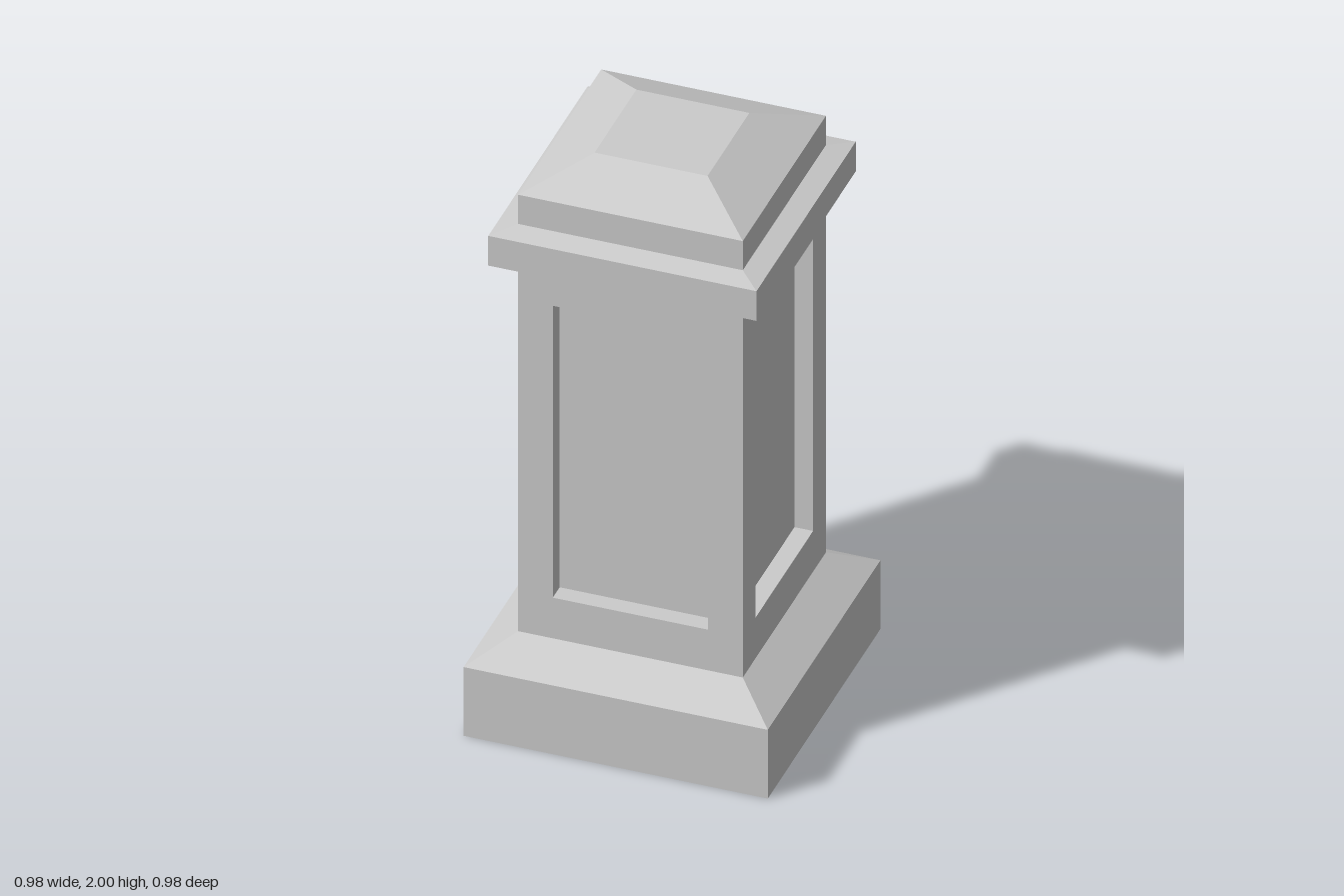
import * as THREE from 'three';
import { mergeGeometries } from 'three/addons/utils/BufferGeometryUtils.js';

const HALF = 0.362;                       // half width of the shaft
const SHAFT = { bottom: 0.33, top: 1.69 };
const PANEL = { half: 0.25, bottom: 0.478, top: 1.54, depth: 0.06 };

const material = new THREE.MeshStandardMaterial({ color: 0xcccccc });

// Square moulding from a profile of [half width, height], bottom to top
function squareMoulding(name, profile) {
  const points = profile.map(([half, y]) => new THREE.Vector2(half * Math.SQRT2, y));
  const geometry = new THREE.LatheGeometry(points, 4, Math.PI / 4).toNonIndexed();
  geometry.computeVertexNormals();
  const mesh = new THREE.Mesh(geometry, material);
  mesh.name = name;
  return mesh;
}

function rectangle(path, half, bottom, top) {
  path.moveTo(-half, bottom);
  path.lineTo(half, bottom);
  path.lineTo(half, top);
  path.lineTo(-half, top);
  path.closePath();
  return path;
}

// One shaft face: flat frame around an opening
function frameGeometry() {
  const shape = rectangle(new THREE.Shape(), HALF, SHAFT.bottom, SHAFT.top);
  shape.holes.push(rectangle(new THREE.Path(), PANEL.half, PANEL.bottom, PANEL.top));
  return new THREE.ShapeGeometry(shape).translate(0, 0, HALF);
}

// Sunk panel: back plane and its four reveals
function recessGeometry() {
  const { half, bottom, top, depth } = PANEL;
  const height = top - bottom;
  const midY = (top + bottom) / 2;
  const parts = [new THREE.PlaneGeometry(2 * half, height).translate(0, midY, HALF - depth)];
  for (const s of [-1, 1]) {
    parts.push(
      new THREE.PlaneGeometry(depth, height)
        .rotateY(-s * Math.PI / 2)
        .translate(s * half, midY, HALF - depth / 2),
      new THREE.PlaneGeometry(2 * half, depth)
        .rotateX(s * Math.PI / 2)
        .translate(0, midY + s * height / 2, HALF - depth / 2)
    );
  }
  return mergeGeometries(parts);
}

export function createModel() {
  const model = new THREE.Group();
  model.name = 'pedestal';

  // Plinth with sloped shoulder
  model.add(squareMoulding('plinth', [[0, 0], [0.49, 0], [0.49, 0.25], [HALF, 0.33], [0, 0.33]]));

  // Shaft, the same panelled face on all four sides
  const shaft = new THREE.Group();
  shaft.name = 'shaft';
  const frame = frameGeometry();
  const recess = recessGeometry();
  for (let i = 0; i < 4; i++) {
    const side = new THREE.Group();
    side.name = 'shaftSide';
    const frameMesh = new THREE.Mesh(frame, material);
    frameMesh.name = 'panelFrame';
    const recessMesh = new THREE.Mesh(recess, material);
    recessMesh.name = 'sunkPanel';
    side.add(frameMesh, recessMesh);
    side.rotation.y = i * Math.PI / 2;
    shaft.add(side);
  }
  model.add(shaft);

  // Projecting band, then the block with its truncated pyramid top
  model.add(squareMoulding('capBand',
    [[0, 1.688], [0.432, 1.688], [0.432, 1.796], [HALF, 1.812], [0, 1.812]]));
  model.add(squareMoulding('capTop',
    [[HALF, 1.812], [HALF, 1.918], [0.182, 2], [0, 2]]));

  return model;
}
